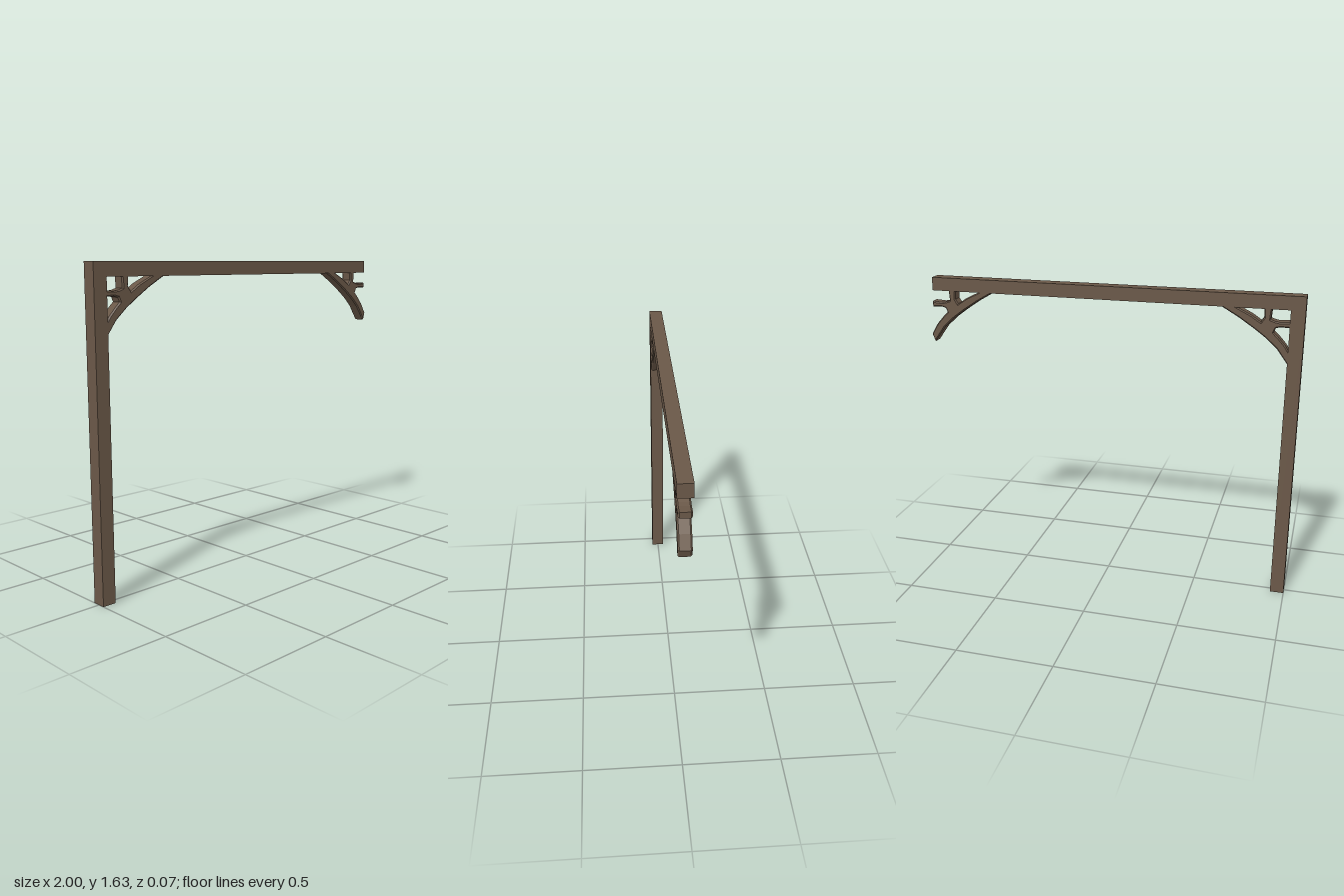
import * as THREE from 'three';

export function createModel() {
  const group = new THREE.Group();
  const wood = new THREE.MeshStandardMaterial({ color: 0x6a5848 });
  wood.name = 'dark wood';

  const timber = (name, x0, x1, y0, y1) => {
    const mesh = new THREE.Mesh(new THREE.BoxGeometry(x1 - x0, y1 - y0, 0.072), wood);
    mesh.position.set((x0 + x1) / 2, (y0 + y1) / 2, 0);
    mesh.name = name;
    group.add(mesh);
  };
  timber('post', -1, -0.928, 0, 1.563);
  timber('beam', -1, 0.975, 1.563, 1.633);

  // Curved bracket outline: arch with two short struts, mirrored for each end
  const outline = [
    [0.61, 1.577], [0.636, 1.562], [0.722, 1.513], [0.802, 1.46], [0.861, 1.417], [0.92, 1.364], [0.984, 1.278], // arch underside
    [1.0, 1.32], [0.963, 1.38], [0.925, 1.422], [0.9, 1.446], // tip and arch back
    [0.909, 1.468], [0.93, 1.474], [0.984, 1.472], [0.984, 1.502], [0.93, 1.498], [0.905, 1.502], // side strut
    [0.882, 1.51], [0.887, 1.577], [0.845, 1.577], [0.85, 1.519], [0.834, 1.495], // upright strut
    [0.786, 1.527], [0.684, 1.577]
  ];
  const middle = 0.024;
  const bracket = (name, side) => {
    const points = outline.map(([x, y]) => new THREE.Vector2(middle + side * (x - middle), y));
    const geometry = new THREE.ExtrudeGeometry(new THREE.Shape(points), {
      depth: 0.05, bevelEnabled: true, bevelThickness: 0.007,
      bevelSize: 0.006, bevelOffset: -0.006, bevelSegments: 1
    });
    geometry.translate(0, 0, -0.025);
    const mesh = new THREE.Mesh(geometry, wood);
    mesh.name = name;
    group.add(mesh);
  };
  bracket('leftBracket', 1);
  bracket('rightBracket', -1);

  return group;
}
